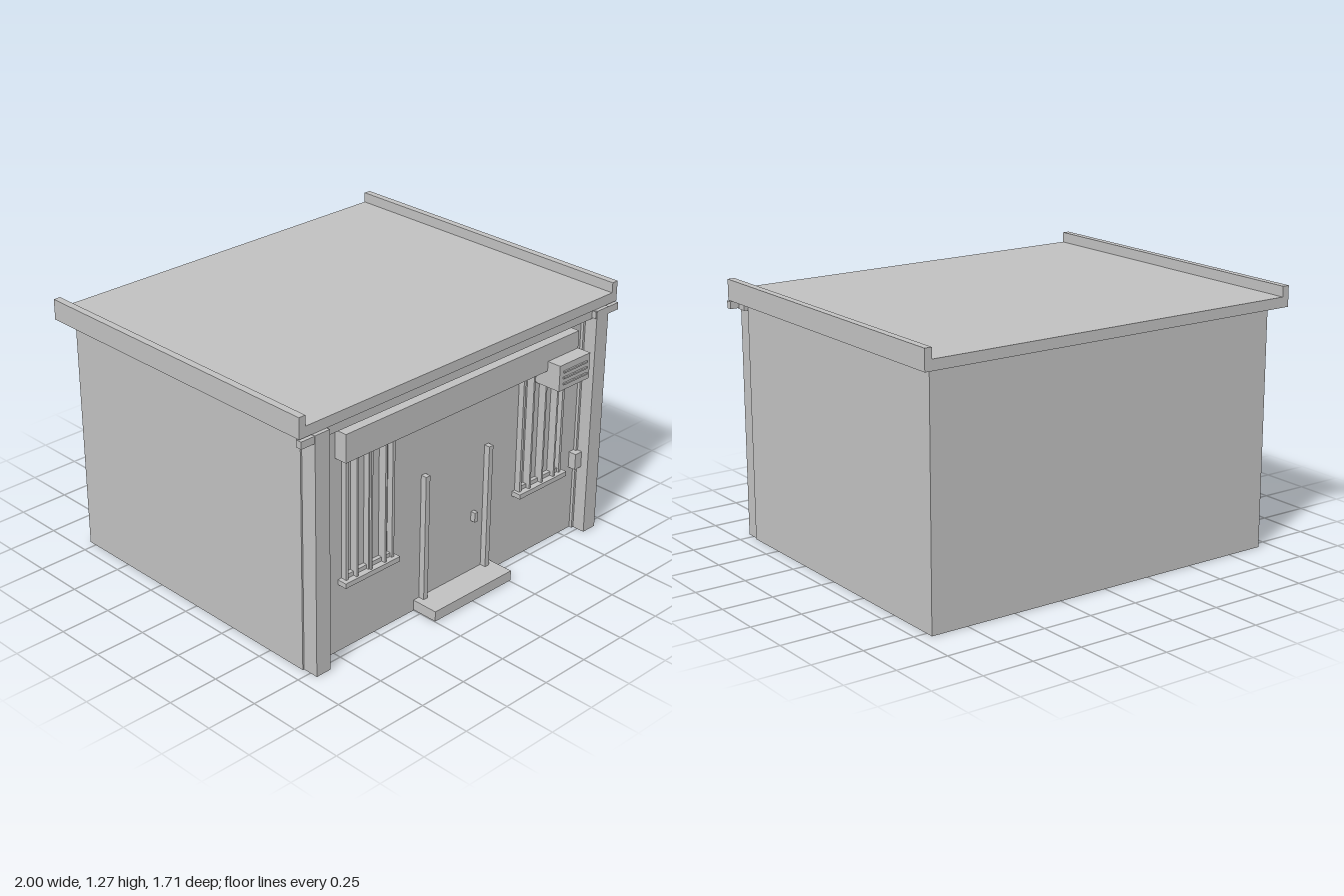
import * as THREE from 'three';

export function createModel() {
  const group = new THREE.Group();
  const plaster = new THREE.MeshStandardMaterial({ color: 0xc0c0c0 });
  plaster.name = 'plaster grey';

  // Box given by its limits on each axis
  function box(name, x0, x1, y0, y1, z0, z1) {
    const mesh = new THREE.Mesh(new THREE.BoxGeometry(x1 - x0, y1 - y0, z1 - z0), plaster);
    mesh.position.set((x0 + x1) / 2, (y0 + y1) / 2, (z0 + z1) / 2);
    mesh.name = name;
    group.add(mesh);
  }
  // The same box on both sides of x = 0
  function pair(name, x0, x1, ...rest) {
    box(name + 'Left', x0, x1, ...rest);
    box(name + 'Right', -x1, -x0, ...rest);
  }

  const wall = 0.71; // front wall plane

  // Main volume and roof
  box('walls', -0.935, 0.935, 0, 1.17, -0.79, wall);
  box('roofSlab', -1, 1, 1.17, 1.22, -0.855, 0.775);
  pair('parapet', 0.965, 1, 1.22, 1.27, -0.855, 0.775);

  // Corner pillars, caps and the beam between them
  pair('pillar', 0.845, 0.927, 0, 1.168, wall, 0.79);
  pair('pillarCap', 0.84, 1, 1.13, 1.165, 0.757, 0.787);
  pair('capReturn', 0.925, 0.955, 1.125, 1.16, wall, 0.765);
  box('beam', -0.85, 0.85, 1.125, 1.165, wall, 0.765);

  // Sign board
  box('signBoard', -0.74, 0.74, 0.965, 1.1, wall, 0.775);

  // Windows with frames, sashes, bars and sills
  pair('windowSill', 0.395, 0.725, 0.343, 0.367, wall, 0.76);
  for (const x of [0.413, 0.557, 0.69]) {
    pair('windowPost', x, x + 0.014, 0.367, 0.965, wall, 0.74);
  }
  for (const x of [0.427, 0.571]) {
    pair('sashBottom', x, x + 0.125, 0.367, 0.387, wall, 0.73);
    pair('sashTop', x, x + 0.125, 0.948, 0.965, wall, 0.73);
  }
  for (const x of [0.475, 0.56, 0.645]) {
    pair('windowBar', x - 0.005, x + 0.005, 0.367, 0.965, wall, 0.75);
  }

  // Doorway
  box('doorStep', -0.253, 0.253, 0.005, 0.056, wall, 0.847);
  pair('doorPost', 0.192, 0.218, 0.056, 0.686, wall, 0.74);
  box('doorHandle', 0.115, 0.135, 0.322, 0.37, wall, 0.735);

  // Air conditioner with slats
  box('airConditioner', 0.53, 0.74, 0.885, 1.013, wall, 0.847);
  for (const y of [0.917, 0.947, 0.977]) {
    box('airConditionerSlat', 0.555, 0.718, y - 0.004, y + 0.004, 0.84, 0.855);
  }

  // Meter box and its conduit
  box('meterBox', 0.8, 0.85, 0.343, 0.425, wall, 0.75);
  box('conduit', 0.833, 0.847, 0.0, 1.13, wall, 0.725);

  return group;
}
